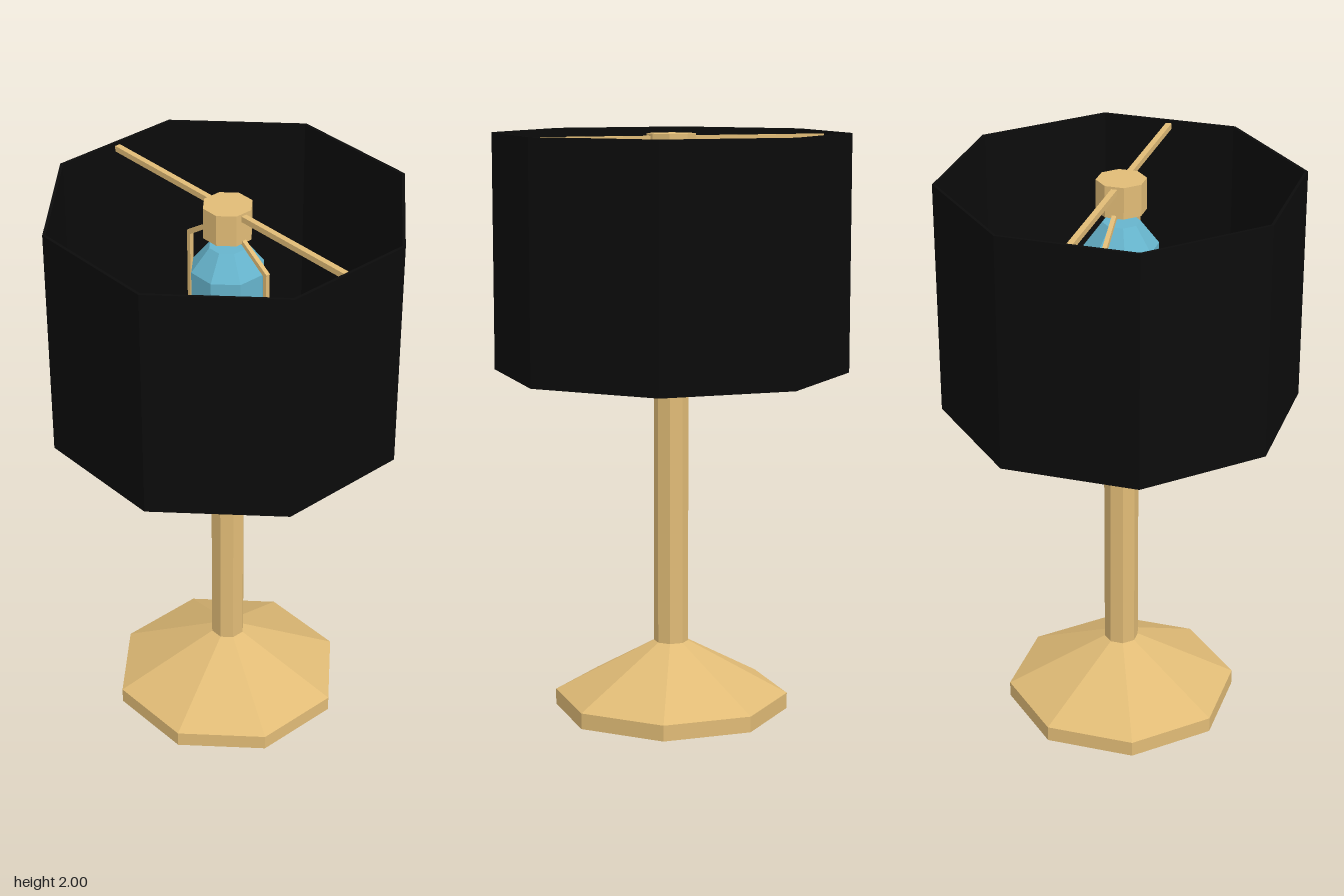
import * as THREE from 'three';

const brass = new THREE.MeshStandardMaterial({ color: 0xe0bb76, flatShading: true });
const black = new THREE.MeshStandardMaterial({ color: 0x0b0b0b, flatShading: true });
const blue = new THREE.MeshStandardMaterial({ color: 0x66b4cc, flatShading: true });

// Eight-sided turned part; radii are measured to the middle of the flats
function turned(name, profile, material) {
  const points = profile.map(([r, y]) => new THREE.Vector2(r / Math.cos(Math.PI / 8), y));
  const geometry = new THREE.LatheGeometry(points, 8).rotateY(Math.PI / 8);
  const mesh = new THREE.Mesh(geometry, material);
  mesh.name = name;
  return mesh;
}

// Closed outline of the wire frame, w is its half width
function frameOutline(w, neck, low, high, slope) {
  return [
    [-neck, low], [neck, low], [w, low + slope], [w, high - slope],
    [neck, high], [-neck, high], [-w, high - slope], [-w, low + slope],
  ].map(([x, y]) => new THREE.Vector2(x, y));
}

export function createModel() {
  const lamp = new THREE.Group();
  lamp.name = 'tableLamp';

  // Foot and stem
  lamp.add(turned('base', [[0, 0], [0.375, 0], [0.375, 0.055], [0.055, 0.24], [0, 0.24]], brass));
  lamp.add(turned('stem', [[0.055, 0.24], [0.055, 1.45]], brass));

  // Socket, bulb and top knob
  lamp.add(turned('socket', [[0, 1.44], [0.077, 1.44], [0.077, 1.55], [0, 1.55]], brass));
  lamp.add(turned('bulb', [[0.05, 1.55], [0.115, 1.66], [0.115, 1.77], [0.058, 1.85], [0, 1.85]], blue));
  lamp.add(turned('knob', [[0, 1.89], [0.077, 1.89], [0.077, 1.998], [0, 1.998]], brass));

  // Wire frame around the bulb
  const wire = 0.015;
  const shape = new THREE.Shape(frameOutline(0.192, 0.08, 1.46, 1.9, 0.075));
  shape.holes.push(new THREE.Path(frameOutline(0.192 - wire, 0.076, 1.46 + wire, 1.9 - wire, 0.07)));
  const harpGeometry = new THREE.ExtrudeGeometry(shape, { depth: wire, bevelEnabled: false });
  const harp = new THREE.Mesh(harpGeometry.translate(0, 0, -wire / 2), brass);
  harp.name = 'harp';
  lamp.add(harp);

  // Cross bar carrying the shade
  const bar = new THREE.Mesh(new THREE.BoxGeometry(1.115, 0.02, 0.02), brass);
  bar.name = 'crossBar';
  bar.position.y = 1.98;
  lamp.add(bar);

  // Open shade with a thin wall
  lamp.add(turned('shade', [[0.552, 1.19], [0.562, 1.19], [0.562, 2], [0.552, 2], [0.552, 1.19]], black));

  return lamp;
}
